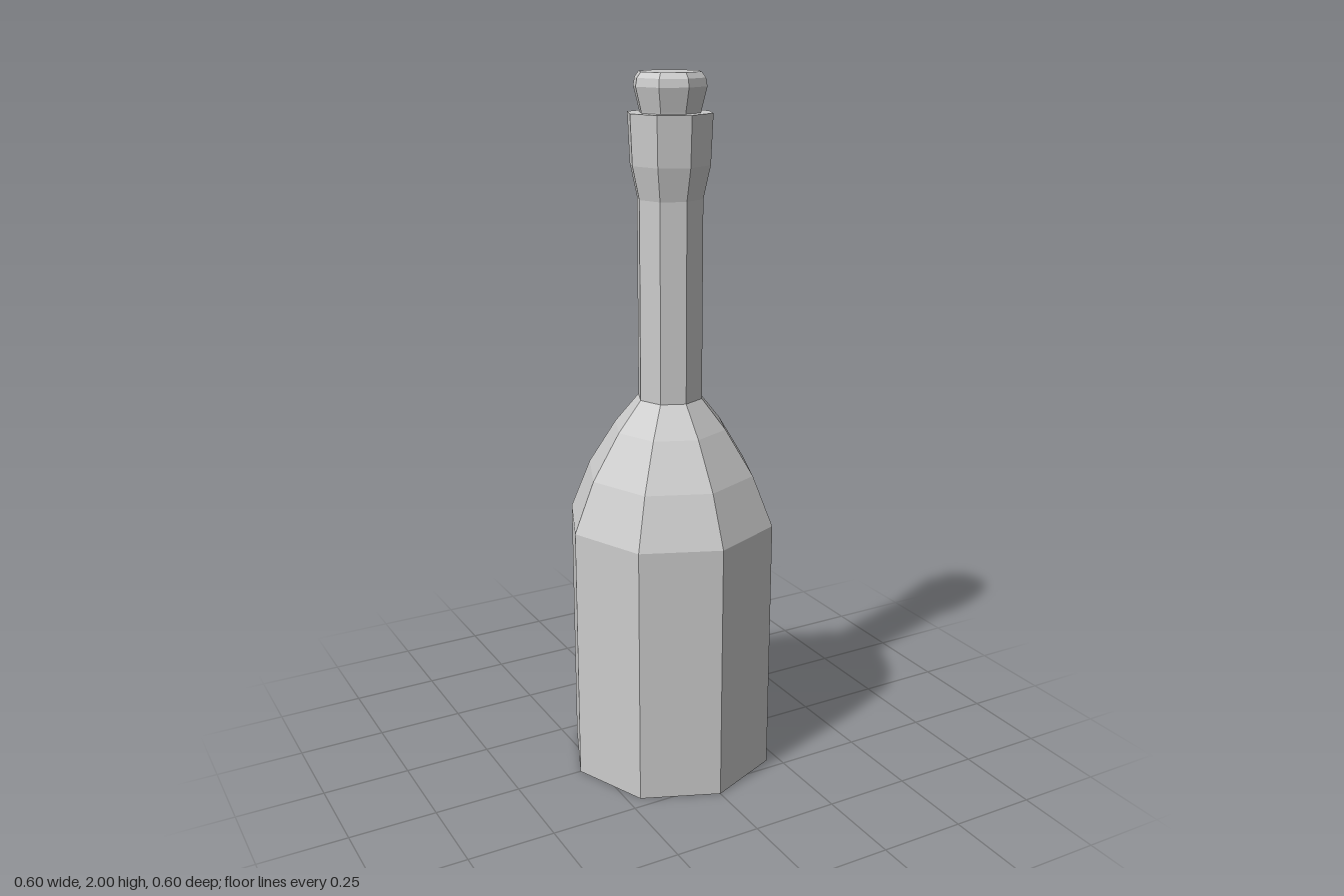
import * as THREE from 'three';

const SIDES = 8;

// Eight-sided turned part from [radius, height] pairs, listed from bottom to top.
function turned(name, profile, material) {
  const points = profile.map(([r, y]) => new THREE.Vector2(r, y));
  const mesh = new THREE.Mesh(new THREE.LatheGeometry(points, SIDES), material);
  mesh.name = name;
  return mesh;
}

export function createModel() {
  const group = new THREE.Group();
  group.name = 'bottle';
  const material = new THREE.MeshStandardMaterial({ color: 0xcccccc, flatShading: true });

  // Shallow hollow base, straight body, rounded shoulder, neck and flared lip
  group.add(turned('bottleBody', [
    [0, 0.045], [0.08, 0.04], [0.19, 0.02], [0.302, 0],
    [0.302, 0.755], [0.243, 0.9], [0.162, 1.03], [0.093, 1.115],
    [0.093, 1.67], [0.113, 1.76], [0.119, 1.895], [0.08, 1.895],
  ], material));

  // Stopper, widening above the lip and bevelled at the top
  group.add(turned('cork', [
    [0, 1.87], [0.08, 1.87], [0.086, 1.9], [0.102, 1.963],
    [0.098, 1.985], [0.086, 2], [0, 2],
  ], material));

  return group;
}
